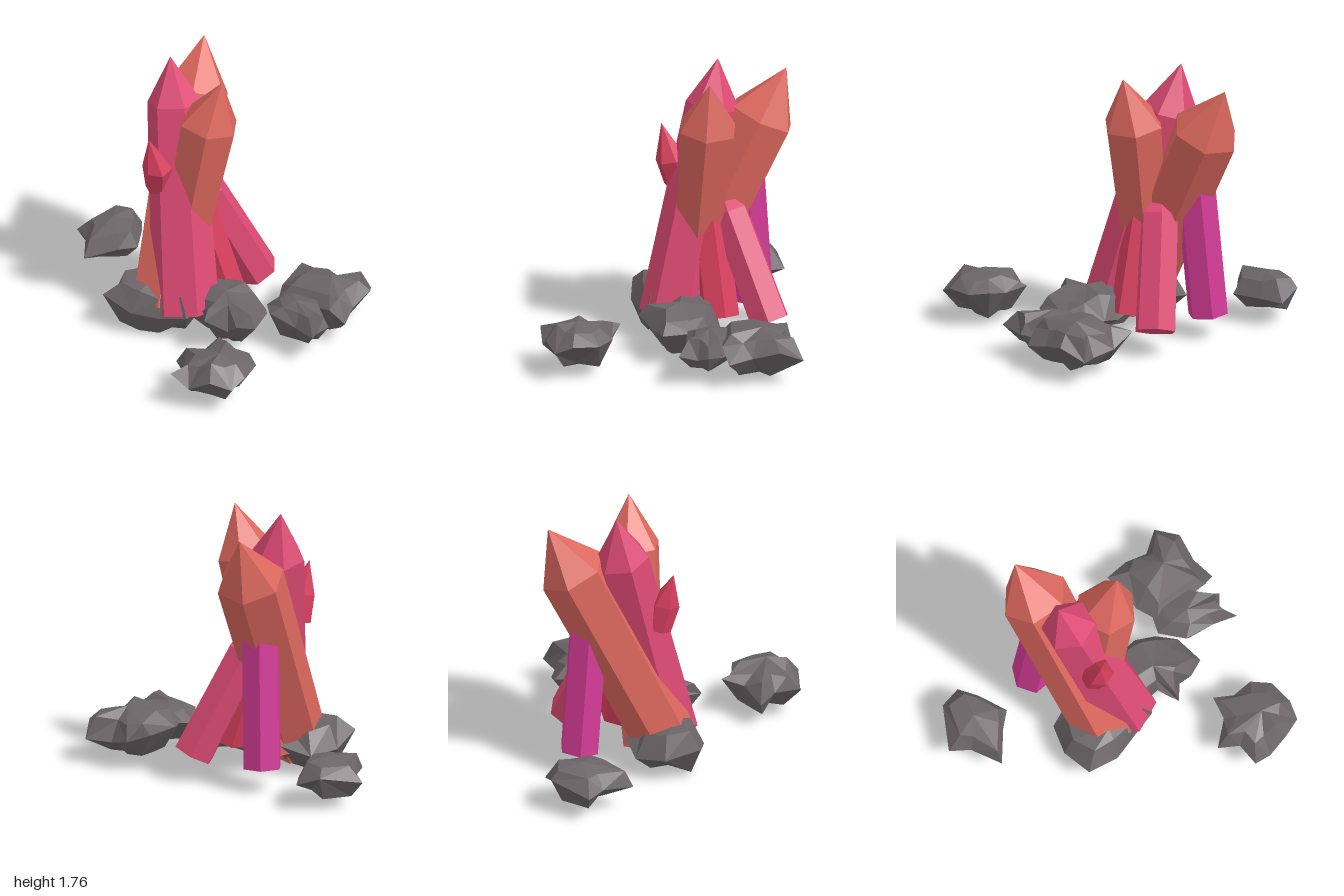
import * as THREE from 'three';

const mat = (name, color) => {
  const m = new THREE.MeshStandardMaterial({ color, flatShading: true });
  m.name = name;
  return m;
};

// Small seeded random generator
function seeded(seed) {
  let s = seed * 7919 + 17;
  return () => (s = (s * 16807) % 2147483647) / 2147483647;
}

// Six-sided prism from base to shoulder, closed by a point at tip
function crystal(name, material, base, shoulder, tip, r0, r1, turn = 0) {
  const a = new THREE.Vector3(...base), b = new THREE.Vector3(...shoulder);
  const axis = b.clone().sub(a), h = axis.length();
  const profile = [[0, 0], [r0, 0], [r1, h], [0, h + r1]].map(p => new THREE.Vector2(...p));
  const g = new THREE.LatheGeometry(profile, 6);
  g.rotateY(turn);
  g.applyQuaternion(new THREE.Quaternion().setFromUnitVectors(new THREE.Vector3(0, 1, 0), axis.normalize()));
  g.translate(...base);
  // Pull the apex off axis
  for (let i = 3; i < g.attributes.position.count; i += 4) g.attributes.position.setXYZ(i, ...tip);
  const mesh = new THREE.Mesh(g, material);
  mesh.name = name;
  return mesh;
}

// Jagged rock: an outline (x, z) at mid height with rough smaller rings above and below
function rock(name, material, y0, y1, outline, seed) {
  const rnd = seeded(seed), n = outline.length, h = y1 - y0;
  rnd(); rnd();
  const cx = outline.reduce((s, p) => s + p[0], 0) / n;
  const cz = outline.reduce((s, p) => s + p[1], 0) / n;
  const pos = [], index = [];
  const rings = [[0.56, 0.1, 0.18], [1, 0.54, 0.42], [0.7, 0.88, 0.2]];
  for (const [scale, level, jitter] of rings) {
    for (const [x, z] of outline) {
      const s = scale === 1 ? 1 : scale + (rnd() - 0.5) * 0.26;
      pos.push(cx + (x - cx) * s, y0 + h * (level + (rnd() - 0.5) * jitter), cz + (z - cz) * s);
    }
  }
  pos.push(cx, y0, cz, cx + (rnd() - 0.5) * 0.1, y1, cz + (rnd() - 0.5) * 0.1);
  for (let i = 0; i < n; i++) {
    const j = (i + 1) % n;
    for (let k = 0; k < 2; k++) {
      const a = k * n + i, b = k * n + j, c = a + n, d = b + n;
      if ((i + k) % 2) index.push(a, b, d, a, d, c);
      else index.push(a, b, c, b, d, c);
    }
    index.push(3 * n, j, i, 3 * n + 1, 2 * n + i, 2 * n + j);
  }
  const g = new THREE.BufferGeometry();
  g.setAttribute('position', new THREE.Float32BufferAttribute(pos, 3));
  g.setIndex(index);
  g.computeVertexNormals();
  const mesh = new THREE.Mesh(g, material);
  mesh.name = name;
  return mesh;
}

export function createModel() {
  const group = new THREE.Group();
  group.name = 'crystalCluster';
  const rose = mat('rose', 0xde4a74);
  const coral = mat('coral', 0xdb675d);
  const crimson = mat('crimson', 0xd83f5d);
  const magenta = mat('magenta', 0xd63c98);
  const stone = mat('stone', 0x6b6467);

  // Tall crystals
  group.add(
    crystal('mainCrystal', rose, [-0.17, 0.15, -0.02], [-0.285, 1.46, -0.35], [-0.32, 1.76, -0.4], 0.215, 0.175, 0.5),
    crystal('leftCrystal', coral, [-0.28, 0.13, -0.2], [-0.05, 1.41, -0.205], [0.04, 1.73, -0.18], 0.14, 0.195, 0.05),
    crystal('backCrystal', coral, [-0.33, 0.14, -0.06], [-0.19, 1.38, -0.645], [-0.16, 1.69, -0.8], 0.2, 0.22, 0),
  );

  // Short crystals leaning on the tall ones
  group.add(
    crystal('backStubCrystal', magenta, [-0.26, 0.15, -0.625], [-0.23, 1.02, -0.55], [-0.22, 1.1, -0.53], 0.13, 0.13, 0.2),
    crystal('sideStubCrystal', rose, [0.22, 0.16, -0.51], [-0.09, 0.82, -0.37], [-0.15, 0.95, -0.34], 0.135, 0.125, 0.1),
    crystal('innerStubCrystal', crimson, [0.06, 0.18, -0.24], [-0.13, 0.8, -0.24], [-0.18, 0.95, -0.25], 0.125, 0.12, 0.4),
    crystal('smallCrystal', crimson, [-0.365, 0.96, -0.13], [-0.36, 1.13, -0.09], [-0.41, 1.35, -0.05], 0.075, 0.095, 0.5),
  );

  // Rocks around the base
  const rocks = [
    ['backRock', 0.07, 0.32, [[-0.9, -0.71], [-0.88, -0.5], [-0.68, -0.6], [-0.56, -0.64], [-0.56, -0.84],
      [-0.58, -0.98], [-0.74, -1], [-0.97, -0.83]]],
    ['rightRock', 0, 0.33, [[-0.63, -0.19], [-0.69, 0.02], [-0.5, 0.12], [-0.31, 0.14], [-0.14, 0.17],
      [-0.05, 0.11], [-0.1, -0.1], [-0.28, -0.33], [-0.5, -0.34]]],
    ['middleRock', 0.04, 0.34, [[-0.01, 0.29], [0.13, 0.22], [0.19, 0.27], [0.31, 0.27], [0.36, 0.08],
      [0.33, -0.06], [0.24, -0.16], [0.14, -0.2], [-0.08, -0.26], [-0.2, -0.1], [-0.12, 0.07], [-0.01, 0.14]]],
    ['leftFrontRock', 0.07, 0.31, [[0.34, -0.05], [0.38, 0.13], [0.56, 0.23], [0.68, 0.33], [0.69, 0.2],
      [0.76, 0.16], [0.71, 0.04], [0.68, -0.1], [0.46, -0.18]]],
    ['leftBackRock', 0.04, 0.34, [[0.41, -0.24], [0.41, -0.09], [0.75, 0.06], [0.85, 0.06], [0.88, -0.09],
      [0.97, -0.24], [0.95, -0.41], [0.79, -0.38], [0.67, -0.46], [0.5, -0.5]]],
    ['frontRock', 0.04, 0.34, [[0.03, 0.59], [-0.14, 0.64], [-0.07, 0.76], [-0.14, 0.91], [-0.02, 0.95],
      [0.12, 0.99], [0.26, 0.99], [0.33, 0.9], [0.38, 0.74], [0.32, 0.62], [0.2, 0.57], [0.11, 0.47]]],
  ];
  rocks.forEach(([name, y0, y1, outline], i) => group.add(rock(name, stone, y0, y1, outline, i + 3)));
  return group;
}
